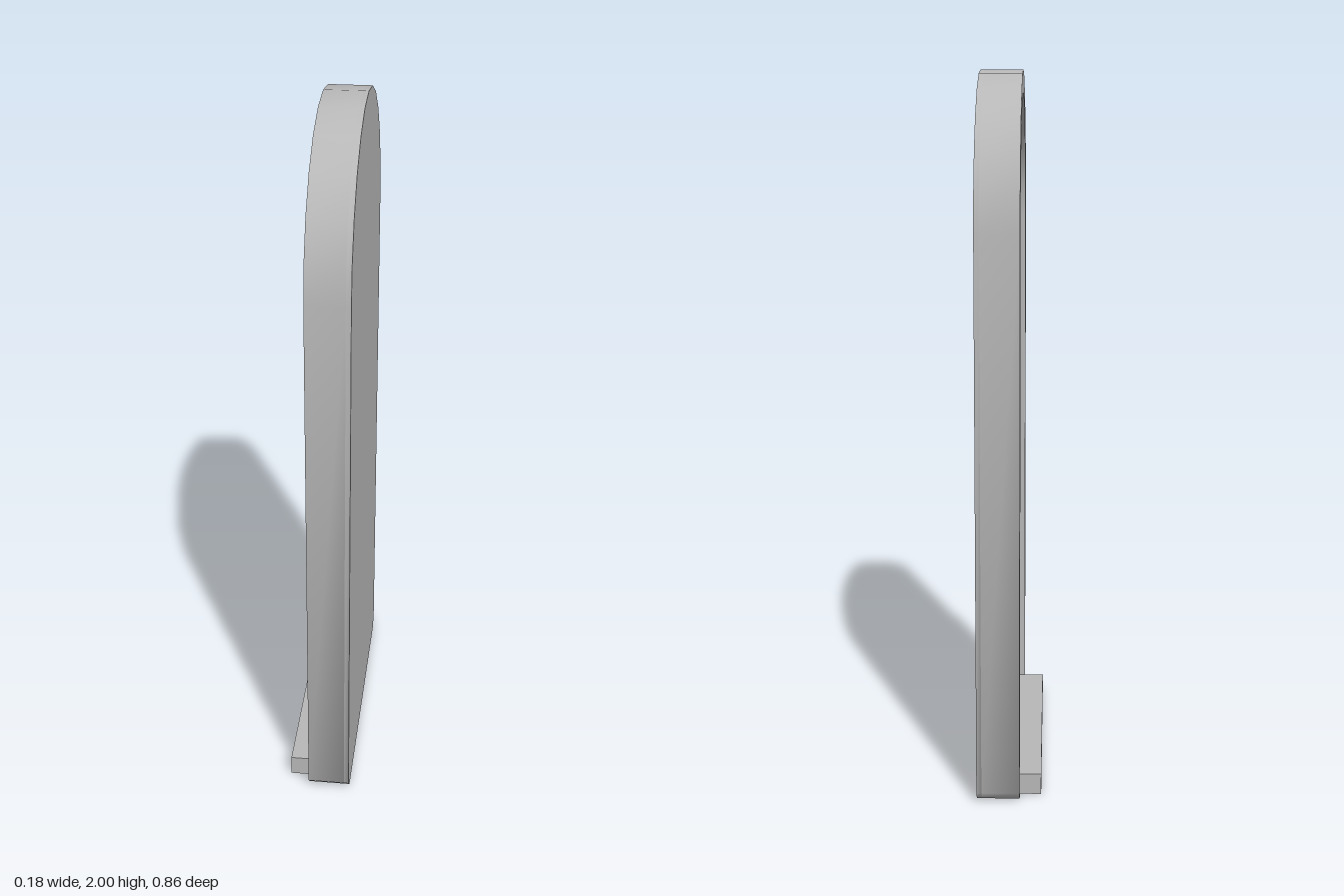
import * as THREE from 'three';
import { toCreasedNormals } from 'three/addons/utils/BufferGeometryUtils.js';

const SPRING = 1.572; // height where the arch begins

// Arched outline of half-width r, standing on y = bottom, with optional cut lower corners
function archOutline(target, r, bottom, cut = 0) {
  target.moveTo(-r + cut, bottom);
  target.lineTo(r - cut, bottom);
  if (cut) target.lineTo(r, bottom + cut);
  target.lineTo(r, SPRING);
  target.absarc(0, SPRING, r, 0, Math.PI, false);
  target.lineTo(-r, bottom + cut);
  return target;
}

// Extrude an outline from x0 to x1 (the outline lies in the z-y plane)
function slab(shape, x0, x1) {
  const g = new THREE.ExtrudeGeometry(shape, { depth: x1 - x0, bevelEnabled: false, curveSegments: 6 });
  g.rotateY(Math.PI / 2);
  g.translate(x0, 0, 0);
  return toCreasedNormals(g, 0.9);
}

export function createModel() {
  const model = new THREE.Group();
  model.name = 'archedWindow';
  const grey = new THREE.MeshStandardMaterial({ color: 0xb8b8b8 });
  grey.name = 'plain grey';

  const add = (name, geometry, x = 0, y = 0, z = 0) => {
    const mesh = new THREE.Mesh(geometry, grey);
    mesh.name = name;
    mesh.position.set(x, y, z);
    model.add(mesh);
  };

  // Glass and closed back
  add('backPanel', slab(archOutline(new THREE.Shape(), 0.428, 0, 0.03), 0.076, 0.09));

  // Outer frame with arched opening
  const frame = archOutline(new THREE.Shape(), 0.428, 0, 0.03);
  frame.holes.push(archOutline(new THREE.Path(), 0.368, 0.06));
  add('outerFrame', slab(frame, -0.03, 0.076));

  // Recessed sash inside the frame
  const sash = archOutline(new THREE.Shape(), 0.368, 0.06);
  sash.holes.push(archOutline(new THREE.Path(), 0.308, 0.12));
  add('sash', slab(sash, 0.03, 0.076));

  // Transom between the arched light and the panes
  add('transom', new THREE.BoxGeometry(0.046, 0.06, 0.616), 0.053, 1.33, 0);

  // Thin glazing bars: one upright and three across
  const bottom = 0.12, top = 1.3, bar = 0.055;
  add('uprightBar', new THREE.BoxGeometry(0.004, top - bottom, bar), 0.052, (top + bottom) / 2, 0);
  for (let i = 1; i <= 3; i++) {
    const y = bottom + (i * (top - bottom)) / 4;
    add('crossBar' + i, new THREE.BoxGeometry(0.004, bar, 0.616), 0.052, y, 0);
  }

  // Projecting sill
  add('sill', new THREE.BoxGeometry(0.06, 0.06, 0.736), -0.06, 0.03, 0);

  return model;
}
